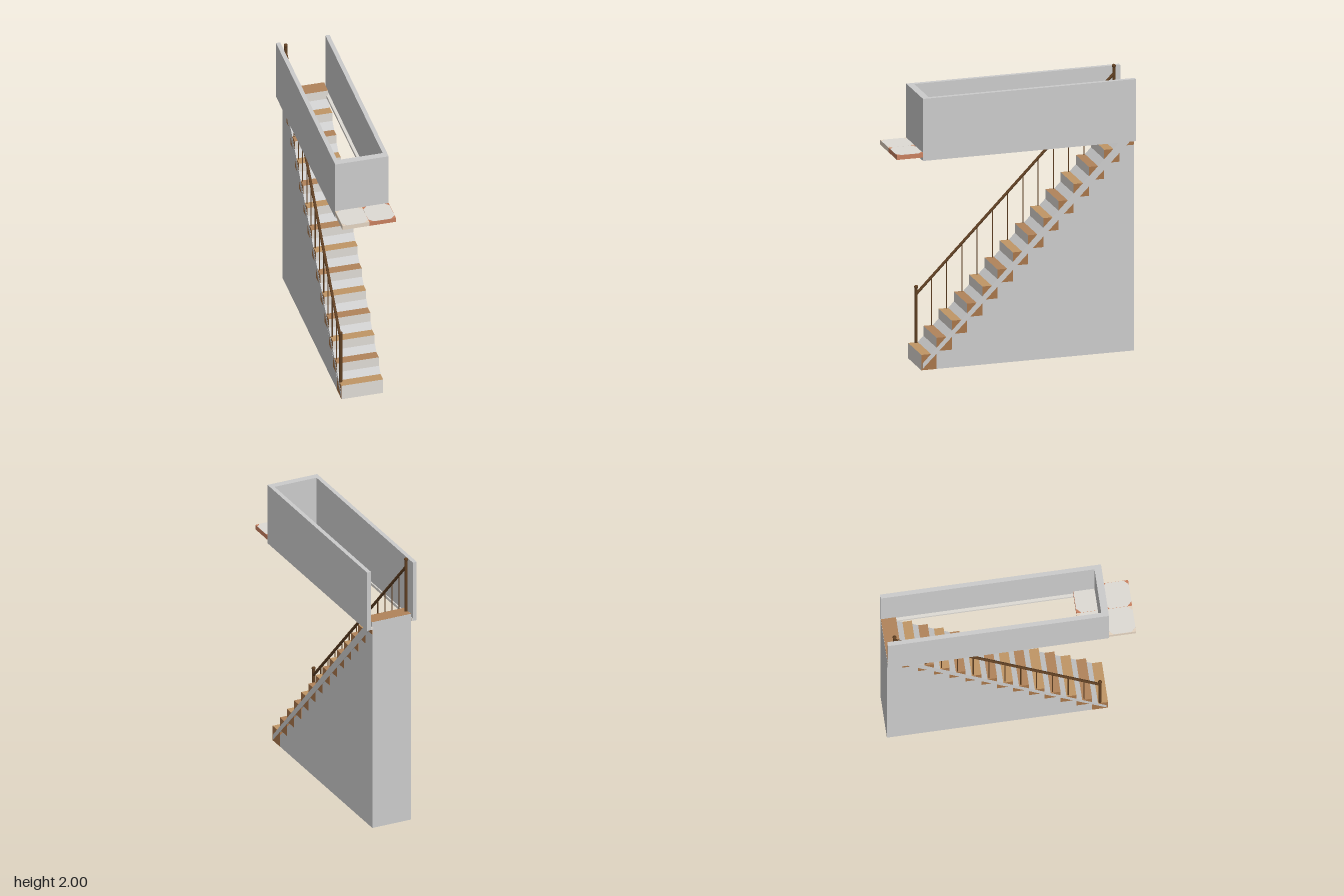
import * as THREE from 'three';

const mat = (color) => new THREE.MeshStandardMaterial({ color });
const grey = mat(0xcccccc), railWood = mat(0x5f3f22), sideWood = mat(0xa8764a);
const white = mat(0xdedad4), beige = mat(0xe3d3c0), terracotta = mat(0xc8805f);
const treads = [mat(0xbf9565), mat(0xb0835a)];

const STEPS = 14, RUN = 0.111, RISE = 0.1136, FRONT = 0.68, FIRST = 0.112, BACK = -0.87;
const RAIL_X = -0.14;

export function createModel() {
  const model = new THREE.Group();

  const add = (name, geometry, material, x = 0, y = 0, z = 0) => {
    const mesh = new THREE.Mesh(geometry, material);
    mesh.name = name;
    mesh.position.set(x, y, z);
    model.add(mesh);
    return mesh;
  };
  // box given by its limits on each axis
  const box = (name, material, x0, x1, y0, y1, z0, z1) =>
    add(name, new THREE.BoxGeometry(x1 - x0, y1 - y0, z1 - z0), material,
      (x0 + x1) / 2, (y0 + y1) / 2, (z0 + z1) / 2);
  // side profile of [z, y] points, extruded across the width
  const profile = (name, points, width) => {
    const shape = new THREE.Shape(points.map(([z, y]) => new THREE.Vector2(-z, y)));
    const geometry = new THREE.ExtrudeGeometry(shape, { depth: width, bevelEnabled: false });
    geometry.translate(0, 0, -width / 2).rotateY(Math.PI / 2);
    return add(name, geometry, grey);
  };
  // round bar between two heights on the railing plane
  const bar = (name, radius, z0, y0, z1, y1, sides = 12) => {
    const a = new THREE.Vector3(RAIL_X, y0, z0), b = new THREE.Vector3(RAIL_X, y1, z1);
    const dir = b.clone().sub(a);
    const mesh = add(name, new THREE.CylinderGeometry(radius, radius, dir.length(), sides), railWood);
    mesh.position.copy(a).add(b).multiplyScalar(0.5);
    mesh.quaternion.setFromUnitVectors(new THREE.Vector3(0, 1, 0), dir.normalize());
  };

  // solid mass under the flight, and the sloping slab showing between the steps
  profile('stairBase', [[0.65, 0], [BACK, 0], [BACK, 1.56], [-0.83, 1.54]], 0.298);
  profile('slopingSlab', [[0.67, 0.01], [BACK, 1.55], [BACK, 1.588], [-0.828, 1.588], [0.67, 0.05]], 0.302);

  // steps: wooden treads and sides, white risers
  for (let i = 0; i < STEPS; i++) {
    const top = FIRST + i * RISE, front = FRONT - i * RUN;
    const tread = treads[i % 2];
    box('step', [sideWood, sideWood, tread, sideWood, white, sideWood],
      -0.15, 0.15, i ? top - 0.096 : 0, top, Math.max(front - RUN, BACK + 0.001), front);
  }

  // newel posts with ball caps
  for (const [z, y0, y1] of [[0.625, FIRST, 0.51], [-0.815, 1.58, 1.98]]) {
    bar('newelPost', 0.011, z, y0, z, y1);
    add('newelBall', new THREE.SphereGeometry(0.014, 16, 12), railWood, RAIL_X, y1 + 0.006, z);
  }
  // handrail and one baluster per step
  const railY = (z) => 0.475 + (0.615 - z) * 1.018;
  bar('handrail', 0.01, 0.622, railY(0.622), -0.815, railY(-0.815));
  for (let i = 1; i < STEPS - 1; i++) {
    const z = FRONT - (i + 0.5) * RUN;
    bar('baluster', 0.004, z, FIRST + i * RISE, z, railY(z), 8);
  }

  // parapet walls round the stair opening, open at the back
  box('leftParapet', grey, 0.16, 0.19, 1.53, 1.98, BACK, FRONT);
  box('rightParapet', grey, -0.195, -0.165, 1.53, 1.98, BACK, FRONT);
  box('frontParapet', grey, -0.165, 0.16, 1.53, 1.98, 0.63, FRONT);
  // pale trim along the foot of the opening
  box('leftTrim', white, 0.138, 0.16, 1.53, 1.55, BACK, 0.63);
  box('rightTrim', white, -0.165, -0.156, 1.53, 1.55, BACK, 0.63);

  // landing of two by two tiles with octagonal white centres
  const T = 0.095, C = 0.032;
  const octagon = new THREE.Shape([
    [-T, -T + C], [-T + C, -T], [T - C, -T], [T, -T + C],
    [T, T - C], [T - C, T], [-T + C, T], [-T, T - C],
  ].map(([x, y]) => new THREE.Vector2(x, y)));
  const tileGeometry = new THREE.ExtrudeGeometry(octagon, { depth: 0.002, bevelEnabled: false });
  tileGeometry.rotateX(-Math.PI / 2);
  const underside = mat(0x7d6f60);
  for (const side of [-1, 1]) {
    const edge = side < 0 ? beige : terracotta;
    const x0 = side < 0 ? -0.195 : -0.002, x1 = side < 0 ? -0.002 : 0.19;
    // the inner half stays within the parapet
    box('outerLanding', [edge, edge, edge, underside, edge, edge], x0, x1, 1.555, 1.588, FRONT, 0.87);
    box('innerLanding', [edge, edge, edge, underside, edge, edge],
      Math.max(x0, -0.165), Math.min(x1, 0.16), 1.555, 1.588, 0.48, 0.63);
    add('outerTile', tileGeometry, white, (x0 + x1) / 2, 1.587, 0.775);
    add('innerTile', tileGeometry, white, (x0 + x1) / 2, 1.587, 0.577);
  }

  return model;
}
